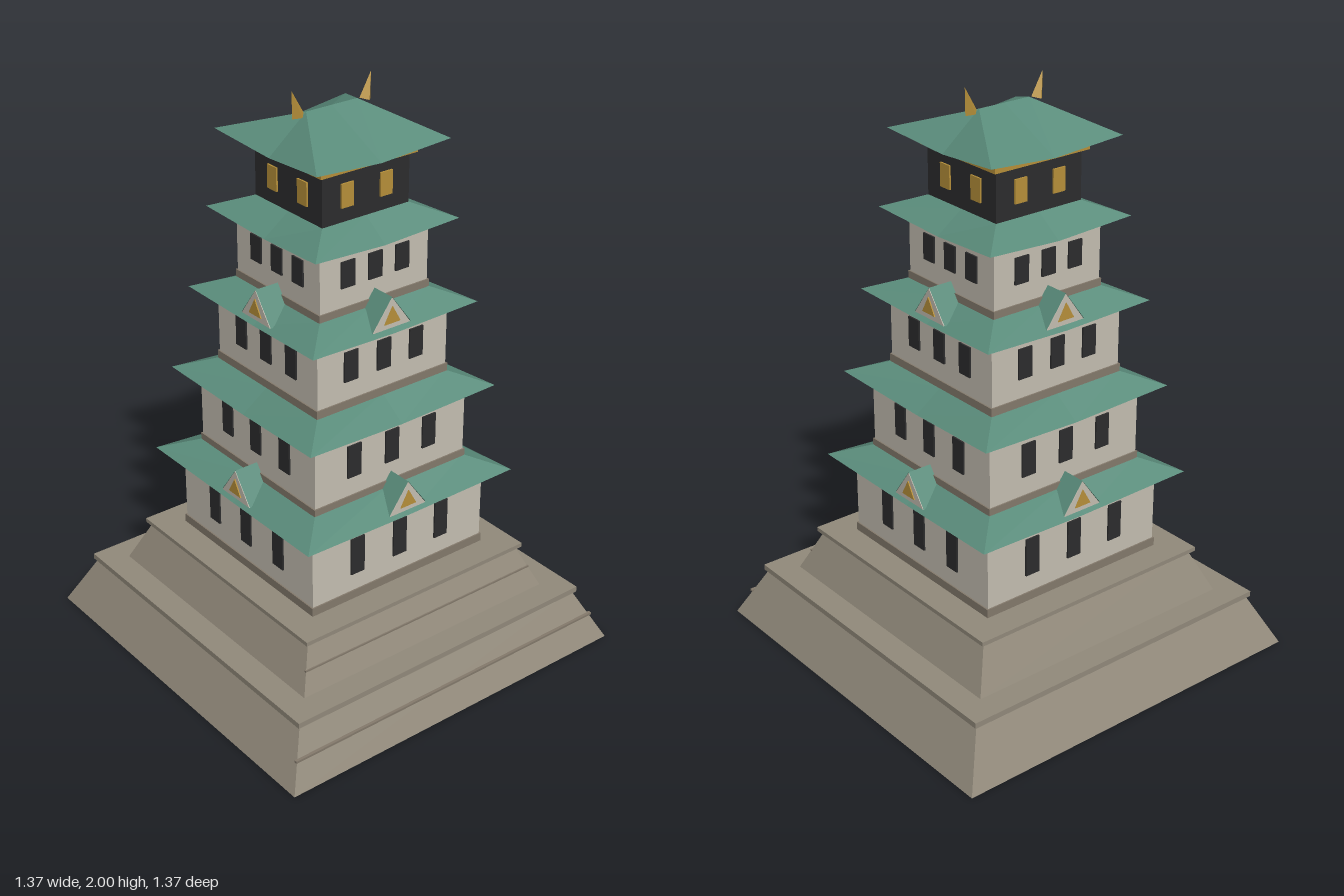
import * as THREE from 'three';

const mat = (name, color) => new THREE.MeshStandardMaterial({ name, color, flatShading: true, side: THREE.DoubleSide });

export function createModel() {
  const stone = mat('stone', 0x938b7c), trim = mat('trim', 0x857b6d), plaster = mat('plaster', 0xc6c0b3);
  const tile = mat('roofTile', 0x5a8c7b), gold = mat('gold', 0xb8913a), dark = mat('darkWood', 0x2d2d2e);
  const root = new THREE.Group();

  const add = (parent, name, geo, material, x = 0, y = 0, z = 0) => {
    const m = new THREE.Mesh(geo, material);
    m.name = name;
    m.position.set(x, y, z);
    parent.add(m);
    return m;
  };
  // square block with half width h between two heights
  const block = (name, h, y0, y1, material) =>
    add(root, name, new THREE.BoxGeometry(2 * h, y1 - y0, 2 * h), material, 0, (y0 + y1) / 2);
  // open sloping wall, square in plan
  const slope = (name, h0, h1, y0, y1) => {
    const g = new THREE.CylinderGeometry(h1 * Math.SQRT2, h0 * Math.SQRT2, y1 - y0, 4, 1, true);
    add(root, name, g.rotateY(Math.PI / 4), stone, 0, (y0 + y1) / 2);
  };
  // repeat something on all four sides
  const fourSides = (name, build) => {
    for (let k = 0; k < 4; k++) {
      const g = new THREE.Group();
      g.name = name;
      g.rotation.y = k * Math.PI / 2;
      build(g);
      root.add(g);
    }
  };

  // stone base in two steps, with a course line on the front
  slope('lowerBase', 0.683, 0.593, 0, 0.18);
  block('lowerLedge', 0.605, 0.18, 0.2, stone);
  slope('upperBase', 0.514, 0.447, 0.2, 0.35);
  block('upperLedge', 0.465, 0.35, 0.365, stone);
  add(root, 'lowerCourse', new THREE.BoxGeometry(1.29, 0.008, 0.012), trim, 0, 0.092, 0.639);
  add(root, 'upperCourse', new THREE.BoxGeometry(0.97, 0.006, 0.008), trim, 0, 0.272, 0.481);

  // hipped roof whose eaves sag between raised corners
  const roof = (e, yCorner, yMid, topX, topZ, yTop) => {
    const ring = [[-1, 1], [0, 1], [1, 1], [1, 0], [1, -1], [0, -1], [-1, -1], [-1, 0]];
    const pos = [], index = [];
    ring.forEach(([x, z], i) => {
      const mid = i % 2 === 1, r = mid ? e - 0.018 : e, j = (i + 1) % 8;
      pos.push(x * r, mid ? yMid : yCorner, z * r, x * topX, yTop, z * topZ);
      if (mid) index.push(2 * i, 2 * j, 2 * j + 1, 2 * i, 2 * j + 1, 2 * i + 1);
      else index.push(2 * i, 2 * j, 2 * j + 1, 2 * i, 2 * j + 1, 2 * i + 1);
    });
    const g = new THREE.BufferGeometry();
    g.setAttribute('position', new THREE.Float32BufferAttribute(pos, 3));
    g.setIndex(index);
    g.computeVertexNormals();
    add(root, 'roof', g, tile);
  };

  const triangle = (half, height, depth) => {
    const s = new THREE.Shape([[-half, 0], [half, 0], [0, height]].map(p => new THREE.Vector2(...p)));
    return new THREE.ExtrudeGeometry(s, { depth, bevelEnabled: false });
  };
  // small gable with two tiled slopes, a plaster face and a gold inset
  const gables = (y, front, back) => fourSides('gable', g => {
    const w = 0.078, h = 0.106, len = front - back;
    for (const s of [-1, 1]) {
      const panel = new THREE.PlaneGeometry(Math.hypot(w, h), len).rotateX(-Math.PI / 2);
      add(g, 'gableSlope', panel, tile, s * w / 2, y + h / 2, (front + back) / 2).rotation.z = -s * Math.atan2(h, w);
    }
    add(g, 'gableFace', triangle(0.075, 0.104, 0.006), plaster, 0, y, front - 0.005);
    add(g, 'gableInset', triangle(0.032, 0.057, 0.004), gold, 0, y + 0.018, front + 0.001);
  });

  const windows = (h, xs, width, y0, y1, material) => fourSides('windows', g => {
    for (const x of xs)
      add(g, 'window', new THREE.BoxGeometry(width, y1 - y0, 0.008), material, x, (y0 + y1) / 2, h + 0.002);
  });

  // four plastered storeys
  const storeys = [
    { h: 0.36, y: [0.365, 0.395, 0.63], win: [0.178, 0.46, 0.595], e: 0.43, roofY: [0.657, 0.637, 0.705], top: 0.3125 },
    { h: 0.3125, y: [0.70, 0.727, 0.953], win: [0.156, 0.795, 0.912], e: 0.382, roofY: [0.975, 0.953, 1.022], top: 0.265 },
    { h: 0.265, y: [1.02, 1.048, 1.255], win: [0.133, 1.115, 1.22], e: 0.334, roofY: [1.277, 1.258, 1.325], top: 0.217 },
    { h: 0.217, y: [1.322, 1.348, 1.543], win: [0.109, 1.415, 1.505], e: 0.286, roofY: [1.565, 1.543, 1.612], top: 0.172 },
  ];
  for (const { h, y, win, e, roofY, top } of storeys) {
    block('sill', h + 0.005, y[0], y[1], trim);
    block('wall', h, y[1], y[2], plaster);
    windows(h, [-win[0], 0, win[0]], 0.055, win[1], win[2], dark);
    roof(e, roofY[0], roofY[1], top, top, roofY[2]);
  }
  gables(0.65, 0.4, 0.31);
  gables(1.274, 0.304, 0.215);

  // dark top storey with gold trim and a ridged roof
  block('topWall', 0.172, 1.605, 1.78, dark);
  block('goldCornice', 0.19, 1.78, 1.8, gold);
  windows(0.172, [-0.077, 0.077], 0.048, 1.66, 1.74, gold);
  roof(0.262, 1.83, 1.805, 0.1, 0, 1.922);

  // ridge ornaments
  for (const s of [-1, 1])
    add(root, 'ridgeOrnament', new THREE.ConeGeometry(0.023, 0.088, 4), gold, s * 0.143, 1.957, 0).rotation.z = -s * 0.27;

  return root;
}
